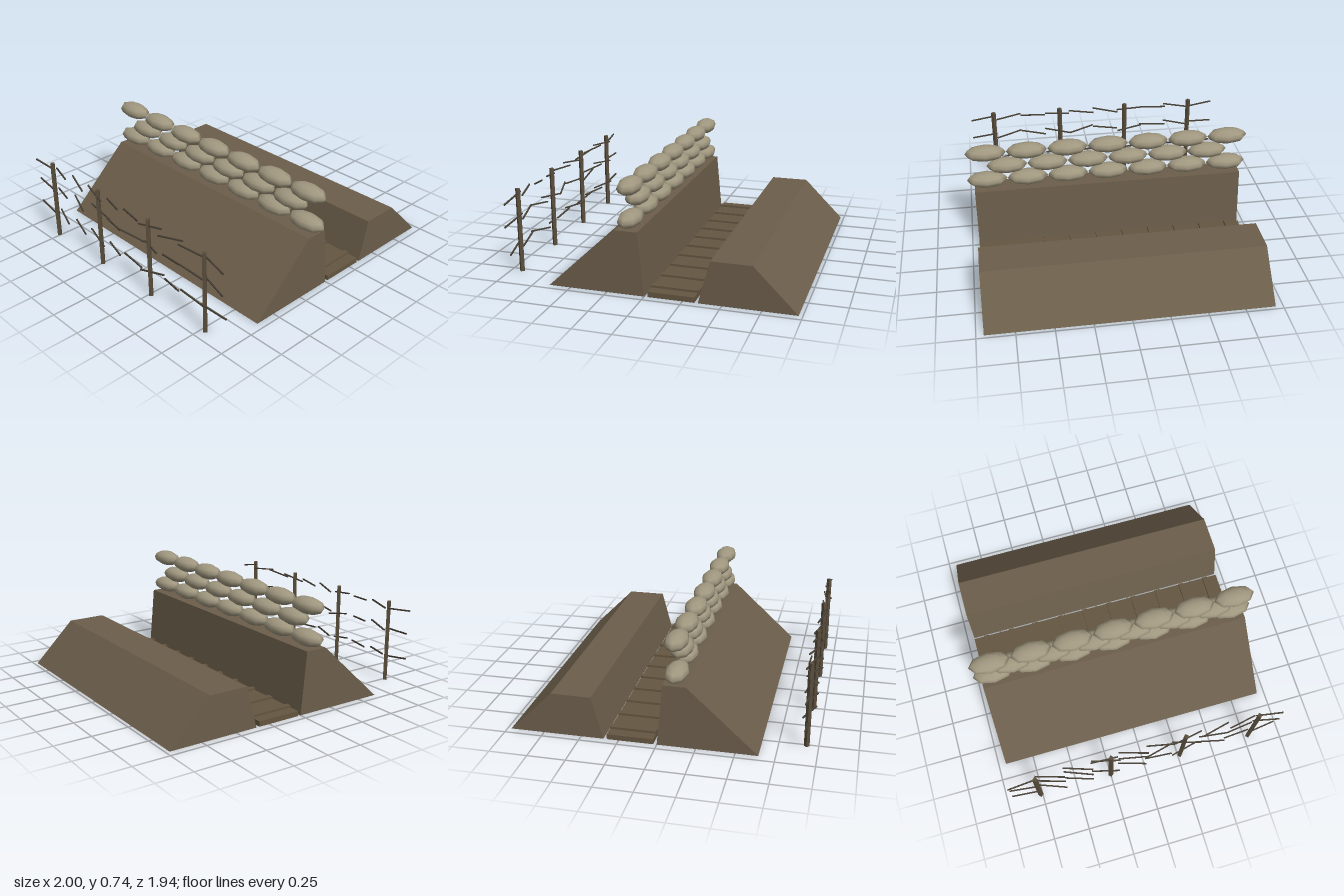
import * as THREE from 'three';

export function createModel() {
  const model = new THREE.Group();
  const mat = (name, color) => {
    const m = new THREE.MeshStandardMaterial({ color });
    m.name = name;
    return m;
  };
  const earth = mat('earth', 0x6b5d4a);
  const wood = mat('wood', 0x645640);
  const sack = mat('sackcloth', 0xa0977f);
  const post = mat('post wood', 0x5a4e3c);
  const wire = mat('wire', 0x4a4237);

  const add = (name, geometry, material, x = 0, y = 0, z = 0, parent = model) => {
    const mesh = new THREE.Mesh(geometry, material);
    mesh.name = name;
    mesh.position.set(x, y, z);
    parent.add(mesh);
    return mesh;
  };
  const group = (name) => {
    const g = new THREE.Group();
    g.name = name;
    model.add(g);
    return g;
  };

  // Earth banks: (z, y) profiles extruded along x
  const length = 1.9;
  const bank = (name, profile) => {
    const shape = new THREE.Shape(profile.map(([z, y]) => new THREE.Vector2(z, y)));
    const geometry = new THREE.ExtrudeGeometry(shape, { depth: length, bevelEnabled: false });
    geometry.translate(0, 0, -length / 2).rotateY(-Math.PI / 2);
    add(name, geometry, earth);
  };
  bank('frontParapet', [[0, 0], [0.645, 0], [0.19, 0.42], [0.04, 0.42]]);
  bank('rearBank', [[-0.975, 0], [-0.35, 0], [-0.425, 0.285], [-0.69, 0.285]]);

  // Trench floor with raised cross slats
  add('trenchFloor', new THREE.BoxGeometry(length, 0.035, 0.305), wood, 0, 0.0175, -0.175);
  const slats = group('floorSlats');
  const slatGeometry = new THREE.BoxGeometry(0.036, 0.015, 0.305);
  for (let i = 0; i < 10; i++) {
    add('slat', slatGeometry, wood, -0.858 + i * 0.1907, 0.0425, -0.175, slats);
  }

  // Three staggered rows of sandbags
  const bags = group('sandbags');
  const bagGeometry = new THREE.SphereGeometry(1, 8, 6).scale(0.142, 0.054, 0.075);
  [7, 6, 7].forEach((count, row) => {
    for (let i = 0; i < count; i++) {
      const x = (i - (count - 1) / 2) * 0.286;
      add('sandbag', bagGeometry, sack, x, 0.478 + row * 0.106, 0.113, bags);
    }
  });

  // Fence posts
  const fence = group('wireFence');
  const postGeometry = new THREE.CylinderGeometry(0.018, 0.018, 0.575, 4).toNonIndexed();
  postGeometry.computeVertexNormals();
  for (let i = 0; i < 4; i++) {
    add('fencePost', postGeometry, post, -0.763 + i * 0.514, 0.2875, 0.925, fence);
  }

  // Loose wire strands: rise and depth change of each span, in hundredths
  const strands = [
    { y: 0.19, rise: [-3, -1, -1, -4, 1, -2, 3, 3, -4, -3], dz: [1, 7, 6, 4, 6, 1, -4, 5, -2, -3] },
    { y: 0.38, rise: [-1, 2, -2, -4, 1, -3, 2, 3, -4, -4], dz: [2, 6, 7, 0, 4, -5, 6, 3, -3, 3] },
    { y: 0.533, rise: [-2, 1, -2, -3, 2, 1, 3, 3, -2, -4], dz: [-2, 6, 6, 4, 6, 4, -3, -4, -4, 2] },
  ];
  const span = length / 10;
  const along = new THREE.Vector3(1, 0, 0);
  strands.forEach(({ y, rise, dz }, s) => {
    for (let i = 0; i < 10; i++) {
      const dir = new THREE.Vector3(span, rise[i] / 100, dz[i] / 100);
      const geometry = new THREE.BoxGeometry(dir.length(), 0.009, 0.009);
      const z = 0.926 + (i === 3 && s === 1 ? -0.038 : 0);
      const strand = add('wireStrand', geometry, wire, -0.95 + (i + 0.5) * span, y, z, fence);
      strand.quaternion.setFromUnitVectors(along, dir.normalize());
    }
  });

  return model;
}
